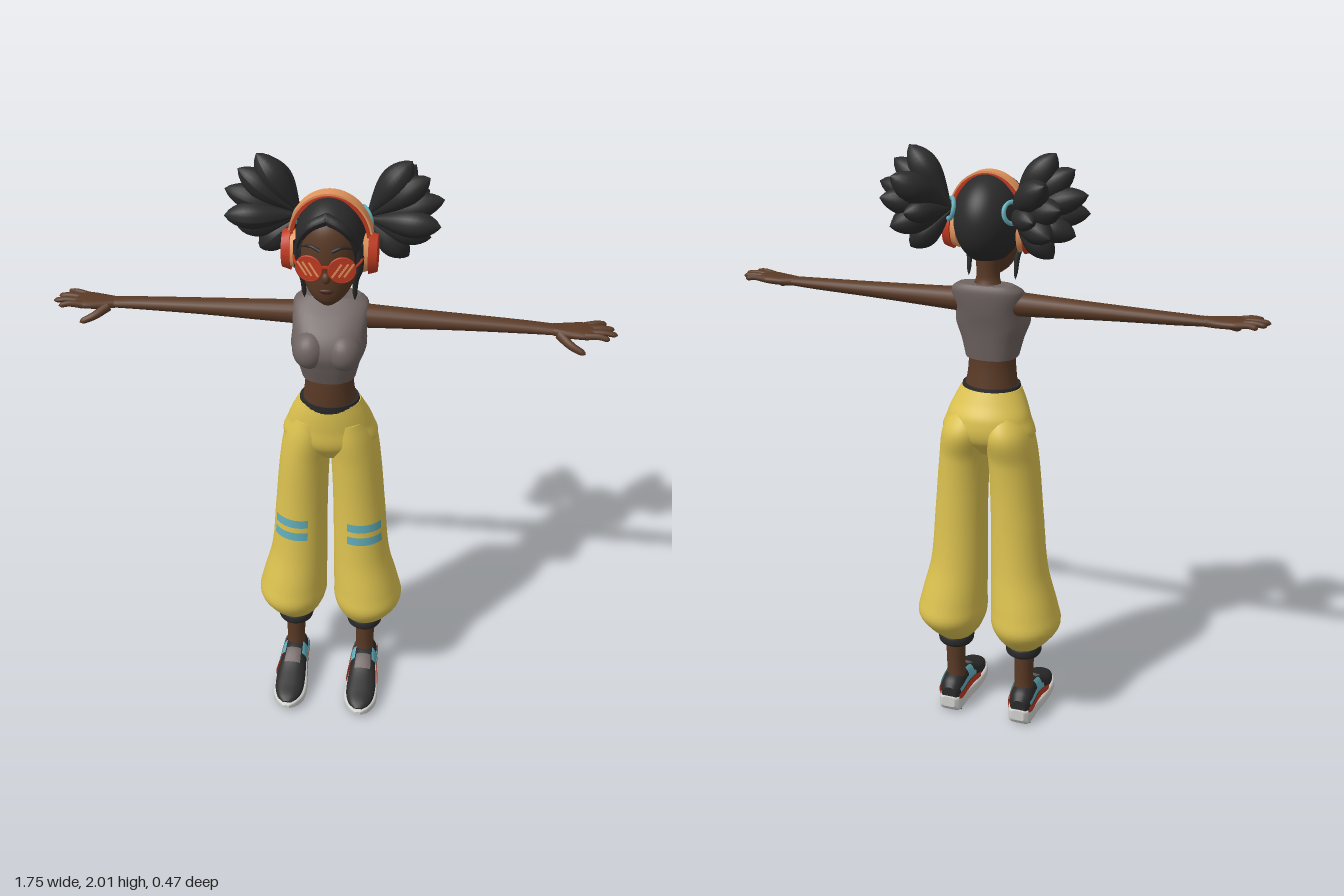
import * as THREE from 'three';
import { ParametricGeometry } from 'three/addons/geometries/ParametricGeometry.js';

const mat = (name, color, double) => {
  const m = new THREE.MeshStandardMaterial({ color });
  m.name = name;
  if (double) m.side = THREE.DoubleSide;
  return m;
};
const V = (x, y, z) => new THREE.Vector3(x, y, z);

// Smoothly interpolated row [s, a0, a1, b0, b1] of a cross-section table
function rowAt(rows, s) {
  let k = 0;
  while (k < rows.length - 2 && s > rows[k + 1][0]) k++;
  const p = rows[k], q = rows[k + 1], h = q[0] - p[0], t = (s - p[0]) / h;
  const slope = (i, c) => {
    const a = rows[Math.max(i - 1, 0)], b = rows[Math.min(i + 1, rows.length - 1)];
    return (b[c] - a[c]) / (b[0] - a[0]);
  };
  return [1, 2, 3, 4].map(c => {
    const t2 = t * t, t3 = t2 * t;
    return (2 * t3 - 3 * t2 + 1) * p[c] + (t3 - 2 * t2 + t) * h * slope(k, c)
      + (3 * t2 - 2 * t3) * q[c] + (t3 - t2) * h * slope(k + 1, c);
  });
}

// Skin over superellipse sections along an axis; an angle range gives a thin patch
function loft(rows, { axis = 'y', n = 2, seg = 32, steps = 32, grow = 0, t0, t1, s0 = rows[0][0], s1 = rows[rows.length - 1][0] } = {}) {
  const full = t0 === undefined, cols = full ? seg : seg + 1, pos = [], idx = [];
  const put = (a, s, b) => pos.push(...(axis === 'y' ? [a, s, b] : axis === 'z' ? [a, b, s] : [s, a, b]));
  const tri = (a, b, c) => axis === 'y' ? idx.push(a, b, c) : idx.push(a, c, b);
  const pw = v => Math.sign(v) * Math.abs(v) ** (2 / n);
  const ring = s => {
    const [a0, a1, b0, b1] = rowAt(rows, s);
    for (let i = 0; i < cols; i++) {
      const t = full ? i / seg * Math.PI * 2 : t0 + (t1 - t0) * i / seg;
      put((a0 + a1) / 2 + ((a1 - a0) / 2 + grow) * pw(Math.sin(t)), s, (b0 + b1) / 2 + ((b1 - b0) / 2 + grow) * pw(Math.cos(t)));
    }
  };
  for (let j = 0; j <= steps; j++) ring(s0 + (s1 - s0) * j / steps);
  for (let j = 0; j < steps; j++) for (let i = 0; i < seg; i++) {
    const a = j * cols + i, b = j * cols + (i + 1) % cols;
    tri(a, b, b + cols); tri(a, b + cols, a + cols);
  }
  if (full) for (const end of [0, 1]) {
    const s = end ? s1 : s0, [a0, a1, b0, b1] = rowAt(rows, s), base = pos.length / 3;
    ring(s);
    put((a0 + a1) / 2, s, (b0 + b1) / 2);
    for (let i = 0; i < seg; i++) {
      const a = base + i, b = base + (i + 1) % seg, c = base + seg;
      end ? tri(a, b, c) : tri(b, a, c);
    }
  }
  const g = new THREE.BufferGeometry();
  g.setAttribute('position', new THREE.Float32BufferAttribute(pos, 3));
  g.setIndex(idx);
  g.computeVertexNormals();
  return g;
}

// Tube that tapers from r0 to r1 with a rounded tip
function taper(points, r0, r1, seg = 10) {
  const curve = new THREE.CatmullRomCurve3(points), n = 18;
  const g = new THREE.TubeGeometry(curve, n, 1, seg), p = g.attributes.position, v = V();
  for (let i = 0; i < p.count; i++) {
    const t = Math.floor(i / (seg + 1)) / n, c = curve.getPointAt(t);
    const r = (r0 + (r1 - r0) * t) * Math.min(1, Math.sqrt((1 - t) / 0.12));
    v.fromBufferAttribute(p, i).sub(c).multiplyScalar(r).add(c);
    p.setXYZ(i, v.x, v.y, v.z);
  }
  g.computeVertexNormals();
  return g;
}

// Teardrop hair lock from root to tip
function petal(root, tip, r) {
  const d = tip.clone().sub(root), len = d.length(), pts = [];
  for (let i = 0; i <= 16; i++) {
    const t = i / 16;
    pts.push(new THREE.Vector2(i % 16 ? r * Math.sin(Math.PI * t ** 1.5) ** 0.75 : 0, t * len));
  }
  return new THREE.LatheGeometry(pts, 14)
    .applyQuaternion(new THREE.Quaternion().setFromUnitVectors(V(0, 1, 0), d.normalize()))
    .translate(root.x, root.y, root.z);
}

const ball = (x, y, z, a, b, c) => new THREE.SphereGeometry(1, 24, 16).scale(a, b, c).translate(x, y, z);

function mirrored(g) {
  const m = g.clone().scale(-1, 1, 1);
  const ix = m.index ? [...m.index.array] : [...Array(m.attributes.position.count).keys()];
  for (let i = 0; i < ix.length; i += 3) [ix[i], ix[i + 1]] = [ix[i + 1], ix[i]];
  m.setIndex(ix);
  m.computeVertexNormals();
  return m;
}

export function createModel() {
  const skin = mat('brown skin', 0x5a3a26), black = mat('soft black', 0x2a2a2b, true), yellow = mat('yellow cloth', 0xdcc250);
  const grey = mat('warm grey', 0x6e6361), cyan = mat('cyan', 0x62aebb, true), red = mat('red', 0xbf3a22, true);
  const orange = mat('light orange', 0xe3955c, true), white = mat('pale sole', 0xd2d2d0), lip = mat('lip brown', 0x4a2620);
  const model = new THREE.Group();
  const add = (name, g, m) => {
    const o = new THREE.Mesh(g, m);
    o.name = name;
    model.add(o);
  };
  const pair = (name, g, m) => { add('left ' + name, g, m); add('right ' + name, mirrored(g), m); };
  const sym = rows => rows.map(([s, a, b0, b1]) => [s, -a, a, b0, b1]);

  // Head and face
  add('head', loft(sym([[1.605, .02, .025, .065], [1.625, .045, 0, .083], [1.66, .07, -.04, .092], [1.72, .089, -.08, .096],
    [1.8, .096, -.12, .098], [1.86, .085, -.11, .084], [1.91, .05, -.07, .04]])), skin);
  add('neck', loft(sym([[1.54, .075, -.085, .0], [1.58, .048, -.075, .0], [1.61, .037, -.066, .004], [1.68, .04, -.07, .01]])), skin);
  add('nose', ball(0, 1.712, .096, .014, .018, .014), skin);
  add('mouth', ball(0, 1.665, .089, .022, .009, .008), lip);
  pair('eyebrow', taper([V(.018, 1.8, .098), V(.045, 1.81, .09), V(.075, 1.798, .068)], .006, .003), black);

  // Round glasses
  const lensAt = g => g.rotateY(.2).translate(.049, 1.747, .107);
  pair('lens', lensAt(new THREE.CylinderGeometry(.039, .039, .006, 28).rotateX(Math.PI / 2)), red);
  pair('lens rim', lensAt(new THREE.TorusGeometry(.039, .0035, 8, 32)), red);
  for (const o of [-.016, .004, .02])
    pair('lens glint', lensAt(new THREE.BoxGeometry(.006, .05, .002).rotateZ(-.6).translate(o, 0, .0035)), orange);
  add('glasses bridge', new THREE.BoxGeometry(.024, .006, .006).translate(0, 1.757, .114), red);
  pair('glasses temple', taper([V(.087, 1.755, .1), V(.1, 1.756, .06), V(.105, 1.756, 0)], .004, .004), red);

  // Hair cap whose lower edge follows the hairline
  add('hair cap', new ParametricGeometry((u, v, p) => {
    const az = (u - .5) * Math.PI * 2;
    const t = v * (.9 + 1.7 * THREE.MathUtils.smoothstep(Math.abs(az), .45, 1.35));
    p.set(.105 * Math.sin(t) * Math.sin(az), 1.79 + .138 * Math.cos(t), -.02 + .14 * Math.sin(t) * Math.cos(az));
  }, 64, 24), black);
  pair('fringe lock', taper([V(-.005, 1.895, .078), V(.045, 1.872, .086), V(.08, 1.82, .064), V(.094, 1.75, .03)], .018, .008), black);
  pair('side strand', taper([V(.088, 1.8, .045), V(.092, 1.72, .035), V(.08, 1.67, .02), V(.077, 1.595, .005)], .016, .006), black);

  // Bunches of hair with ties
  const root = V(.095, 1.825, -.085);
  for (const [x, y, z, r] of [[.23, 2.01, -.09, .046], [.285, 1.965, -.08, .042], [.33, 1.895, -.09, .04], [.325, 1.83, -.04, .042],
    [.295, 1.77, -.09, .042], [.23, 1.7, -.1, .042], [.235, 1.94, -.23, .046], [.28, 1.87, -.21, .042], [.25, 1.785, -.21, .042], [.2, 1.83, -.22, .036]])
    pair('hair bunch lock', petal(root, V(x, y, z), r), black);
  pair('hair tie', new THREE.TorusGeometry(.032, .007, 8, 24)
    .applyQuaternion(new THREE.Quaternion().setFromUnitVectors(V(0, 0, 1), V(.8, .2, -.55).normalize())).translate(.098, 1.827, -.094), cyan);

  // Headphones
  const band = (rx, ry, th, w) => {
    const s = new THREE.Shape();
    s.absellipse(0, 0, rx, ry, 0, Math.PI, false);
    s.absellipse(0, 0, rx - th, ry - th, Math.PI, 0, true);
    return new THREE.ExtrudeGeometry(s, { depth: w, bevelEnabled: false, curveSegments: 32 }).translate(0, 1.785, -.02 - w / 2);
  };
  add('headband', band(.128, .15, .014, .04), orange);
  add('headband lining', band(.122, .144, .01, .05), red);
  const cup = (r, w, x) => new THREE.CylinderGeometry(r * .88, r, w, 28).rotateZ(-Math.PI / 2).scale(1, 1, .8).translate(x, 1.75, -.01);
  pair('ear cushion', cup(.062, .022, .109), orange);
  pair('ear cup', cup(.066, .026, .13), red);

  // Torso
  add('midriff', loft(sym([[1.2, .095, -.08, .08], [1.26, .083, -.07, .083], [1.32, .077, -.062, .083], [1.38, .08, -.06, .08]])), skin);
  add('crop top', loft(sym([[1.34, .085, -.063, .09], [1.4, .1, -.07, .108], [1.45, .117, -.077, .118], [1.5, .115, -.087, .096],
    [1.55, .119, -.093, .045], [1.575, .112, -.092, .012], [1.59, .09, -.085, -.008]]), { n: 2.4 }), grey);
  pair('bust', ball(.053, 1.452, .07, .055, .062, .06), grey);

  // Arms and hands
  pair('arm', loft([[.09, 1.488, 1.565, -.065, .012], [.2, 1.493, 1.56, -.06, .01], [.4, 1.502, 1.552, -.053, .008],
    [.6, 1.508, 1.545, -.044, .008], [.69, 1.512, 1.541, -.038, .012]], { axis: 'x', seg: 20 }), skin);
  pair('palm', loft([[.68, 1.512, 1.541, -.037, .011], [.72, 1.512, 1.542, -.046, .024], [.77, 1.515, 1.544, -.052, .034], [.8, 1.52, 1.541, -.046, .03]],
    { axis: 'x', seg: 20, n: 2.6 }), skin);
  for (const [z0, x, z] of [[.024, .848, .04], [.002, .873, .009], [-.02, .865, -.024], [-.04, .842, -.056]])
    pair('finger', taper([V(.775, 1.53, z0), V((x + .785) / 2, 1.536, (z0 + z) / 2), V(x, 1.531, z)], .0115, .008), skin);
  pair('thumb', taper([V(.7, 1.522, .008), V(.735, 1.505, .042), V(.78, 1.488, .06)], .016, .009), skin);

  // Trousers
  add('waistband', loft(sym([[1.222, .1, -.08, .084], [1.248, .095, -.076, .086]]), { steps: 2 }), black);
  add('hips', loft(sym([[1.02, .06, -.07, .04], [1.08, .152, -.122, .078], [1.15, .139, -.125, .084], [1.2, .119, -.098, .085], [1.238, .1, -.078, .083]])), yellow);
  const leg = [[.3, .065, .185, -.08, .045], [.33, .04, .215, -.112, .077], [.39, .016, .253, -.153, .11], [.45, .014, .244, -.147, .104], [.6, .012, .206, -.12, .08],
    [.8, .01, .187, -.11, .07], [1, .002, .168, -.117, .075], [1.1, -.012, .15, -.138, .08], [1.17, -.005, .12, -.1, .074]];
  pair('trouser leg', loft(leg, { steps: 56 }), yellow);
  for (const y of [.685, .738])
    pair('knee stripe', loft(leg, { s0: y, s1: y + .032, t0: -.38, t1: 1, grow: .003, steps: 3, seg: 16 }), cyan);
  pair('cuff', loft([[.262, .07, .182, -.07, .04], [.272, .064, .187, -.079, .049], [.295, .064, .187, -.079, .049], [.308, .07, .182, -.07, .04]], { steps: 10 }), black);
  pair('ankle', loft([[.09, .092, .162, -.055, .02], [.16, .095, .16, -.05, .016], [.28, .092, .164, -.054, .02]], { seg: 20 }), skin);

  // Trainers
  const upper = [[-.087, .105, .155, .035, .1], [-.065, .092, .168, .025, .125], [-.01, .087, .171, .025, .142], [.04, .084, .174, .025, .132],
    [.1, .079, .182, .025, .1], [.16, .08, .181, .025, .076], [.205, .096, .165, .025, .06], [.224, .115, .145, .03, .048]];
  const sole = [[-.095, .107, .153, .025, .064], [-.08, .092, .168, .004, .064], [0, .085, .176, 0, .052], [.1, .071, .189, 0, .046],
    [.17, .073, .187, .003, .044], [.215, .095, .165, .014, .044], [.236, .12, .14, .026, .04]];
  const patch = (name, m, s0, s1, t0, t1, grow = .004) =>
    pair(name, loft(upper, { axis: 'z', n: 2.4, s0, s1, t0, t1, grow, seg: 12, steps: 12 }), m);
  pair('shoe sole', loft(sole, { axis: 'z', n: 5, steps: 40 }), white);
  pair('shoe upper', loft(upper, { axis: 'z', n: 2.4, steps: 40 }), black);
  patch('shoe tongue', grey, .035, .085, -.5, .5);
  for (const s of [-1, 1]) {
    patch('shoe side panel', cyan, .0, .05, s > 0 ? .6 : -1.5, s > 0 ? 1.5 : -.6);
    patch('shoe heel panel', cyan, -.072, .06, s > 0 ? 1.2 : -1.5, s > 0 ? 1.5 : -1.2, .005);
    patch('shoe red strip', red, -.08, .095, s > 0 ? 1.5 : -1.9, s > 0 ? 1.9 : -1.5, .007);
  }
  // Dark treads under the sole
  for (let i = 0; i < 8; i++)
    pair('sole tread', new THREE.BoxGeometry(.075, .003, .007).translate(.13, .0015, -.06 + i * .032), grey);
  return model;
}
